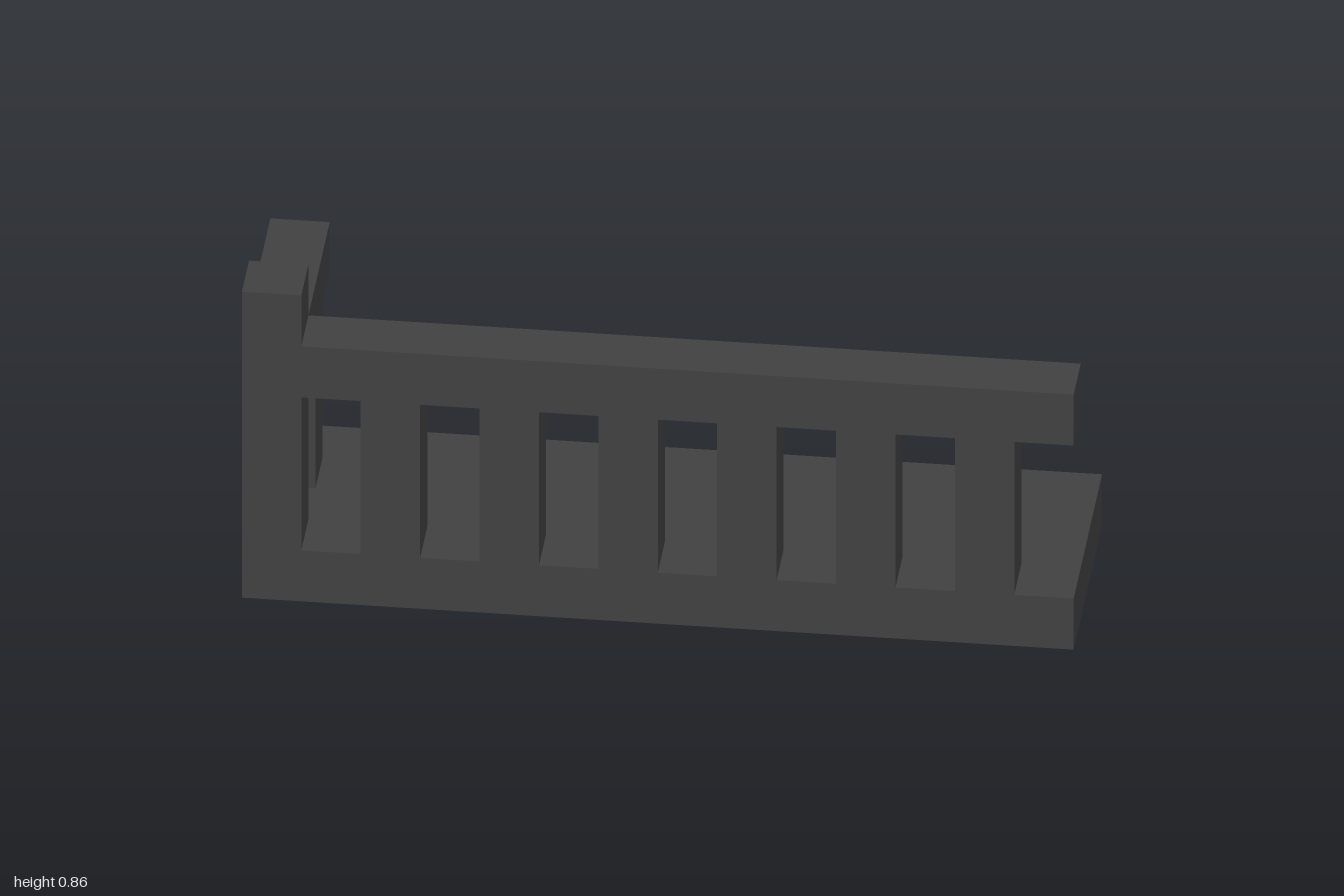
import * as THREE from 'three';

const U = 1 / 7; // one block; the balcony is 14 x 6 x 4 blocks

export function createModel() {
  const group = new THREE.Group();
  const darkStone = new THREE.MeshStandardMaterial({ color: 0x404040 });
  darkStone.name = 'darkStone';

  // Box from its lowest corner and size, both in blocks
  function block(name, [x, y, z], [w, h, d]) {
    const mesh = new THREE.Mesh(new THREE.BoxGeometry(w * U, h * U, d * U), darkStone);
    mesh.position.set((x + w / 2) * U, (y + h / 2) * U, (z + d / 2) * U);
    mesh.name = name;
    group.add(mesh);
  }

  // Floor slab and tall corner post
  block('floor', [-7, 0, -2], [14, 1, 4]);
  block('cornerPost', [-7, 1, 1], [1, 5, 1]);

  // Front railing
  block('frontRail', [-6, 4, 1], [13, 1, 1]);
  for (let x = -5; x <= 5; x += 2) block('frontBaluster', [x, 1, 1], [1, 3, 1]);

  // Short railing on the right end
  block('sideRail', [-7, 4, -2], [1, 1, 3]);
  block('sideBaluster', [-7, 1, -1], [1, 3, 1]);

  return group;
}
